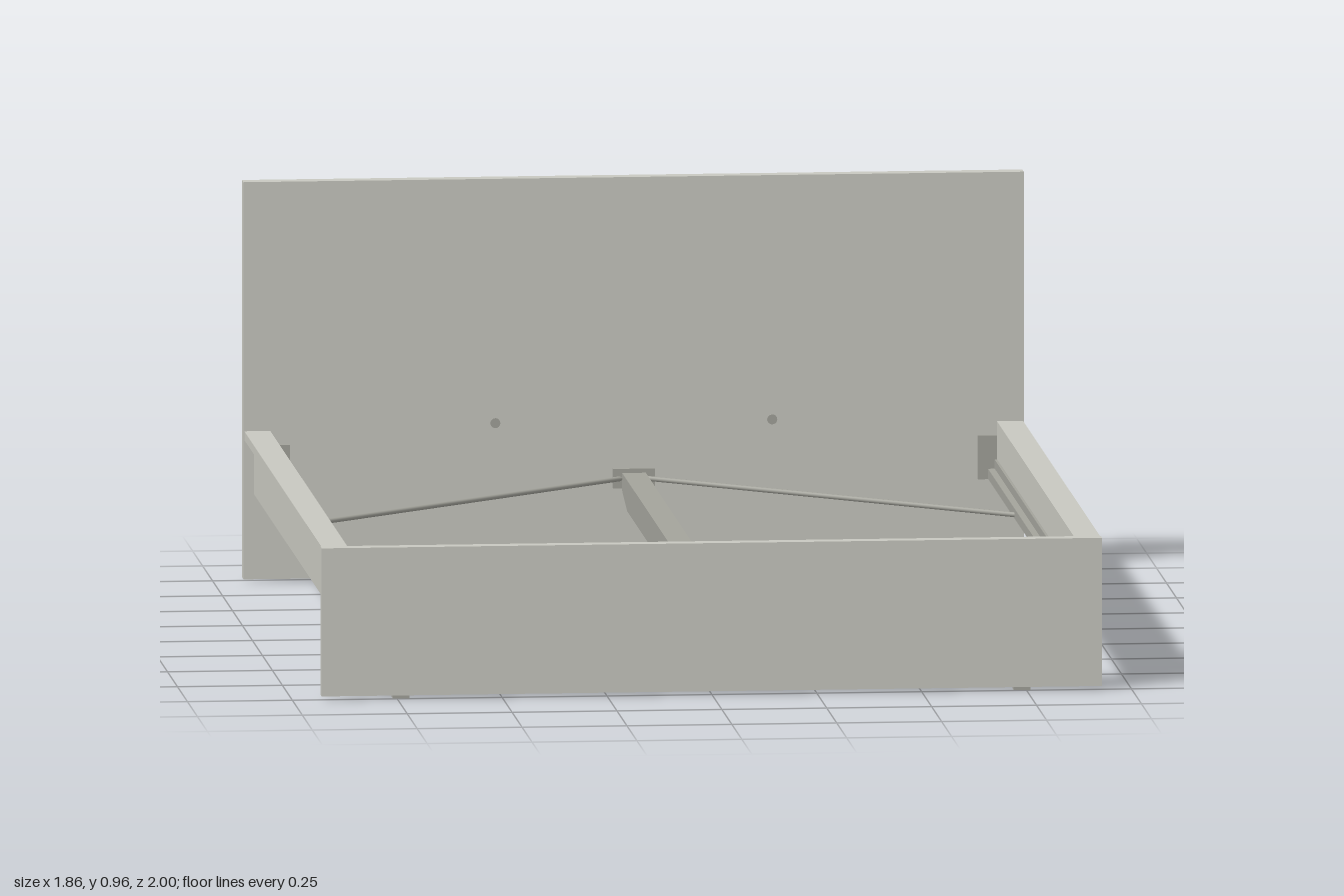
import * as THREE from 'three';

export function createModel() {
  const bed = new THREE.Group();
  bed.name = 'bedFrame';

  const paint = new THREE.MeshStandardMaterial({ color: 0xc8c8c0 });
  paint.name = 'pale grey paint';
  const steel = new THREE.MeshStandardMaterial({ color: 0xa3a39b });
  steel.name = 'grey steel';

  const add = (name, geometry, material) => {
    const mesh = new THREE.Mesh(geometry, material);
    mesh.name = name;
    bed.add(mesh);
    return mesh;
  };

  // Box given by its lower and upper limits
  const box = (name, material, [x0, y0, z0], [x1, y1, z1]) => {
    const mesh = add(name, new THREE.BoxGeometry(x1 - x0, y1 - y0, z1 - z0), material);
    mesh.position.set((x0 + x1) / 2, (y0 + y1) / 2, (z0 + z1) / 2);
    return mesh;
  };

  // Thin round bar between two points
  const rod = (name, a, b, radius) => {
    const mesh = add(name, new THREE.CylinderGeometry(radius, radius, a.distanceTo(b), 10), steel);
    mesh.position.copy(a).add(b).multiplyScalar(0.5);
    mesh.quaternion.setFromUnitVectors(new THREE.Vector3(0, 1, 0), b.clone().sub(a).normalize());
  };

  // End boards
  box('headboard', paint, [-0.93, 0.008, -1], [0.93, 0.96, -0.962]);
  box('footboard', paint, [-0.93, 0.008, 0.965], [0.93, 0.363, 1]);

  for (const s of [-1, 1]) {
    // Mirrored box on one side of the bed
    const sideBox = (name, material, x0, x1, y0, y1, z0 = -0.963, z1 = 0.966) =>
      box(name, material, [Math.min(s * x0, s * x1), y0, z0], [Math.max(s * x0, s * x1), y1, z1]);

    // Side rail: upright panel under an overhanging cap
    sideBox('sideRailPanel', paint, 0.866, 0.905, 0.212, 0.342);
    sideBox('sideRailCap', paint, 0.866, 0.928, 0.342, 0.363);

    // Angle iron that carries the slats
    sideBox('slatSupportWall', steel, 0.86, 0.866, 0.222, 0.272);
    sideBox('slatSupportLedge', steel, 0.844, 0.866, 0.243, 0.25);
    sideBox('slatSupportLip', steel, 0.844, 0.849, 0.226, 0.25);

    // Corner plates, feet and diagonal braces at each end
    for (const e of [-1, 1]) {
      const z = e * 0.96;
      sideBox('cornerPlate', steel, 0.82, 0.866, 0.225, 0.33, z - 0.005, z + 0.005);
      sideBox('footPad', steel, 0.72, 0.76, 0, 0.01, e * 0.981 - 0.014, e * 0.981 + 0.014);
      rod('diagonalBrace',
        new THREE.Vector3(s * 0.848, 0.234, e * 0.295),
        new THREE.Vector3(s * 0.025, 0.238, e * 0.962), 0.006);
    }

    // Round plugs on the headboard
    const plug = add('headboardPlug', new THREE.CylinderGeometry(0.012, 0.012, 0.006, 16), steel);
    plug.rotation.x = Math.PI / 2;
    plug.position.set(s * 0.33, 0.375, -0.96);
  }

  // Centre beam with an underside that tapers at both ends
  const profile = new THREE.Shape([
    [-0.963, 0.252], [-0.963, 0.211], [-0.83, 0.178],
    [0.83, 0.178], [0.966, 0.211], [0.966, 0.252],
  ].map(([z, y]) => new THREE.Vector2(-z, y)));
  const beam = new THREE.ExtrudeGeometry(profile, { depth: 0.056, bevelEnabled: false });
  beam.translate(0, 0, -0.028);
  beam.rotateY(Math.PI / 2);
  add('centreBeam', beam, steel);

  // Brackets that hang the beam on the end boards
  for (const z of [-0.958, 0.961]) {
    box('beamBracket', steel, [-0.05, 0.215, z - 0.005], [0.05, 0.262, z + 0.005]);
  }

  return bed;
}
